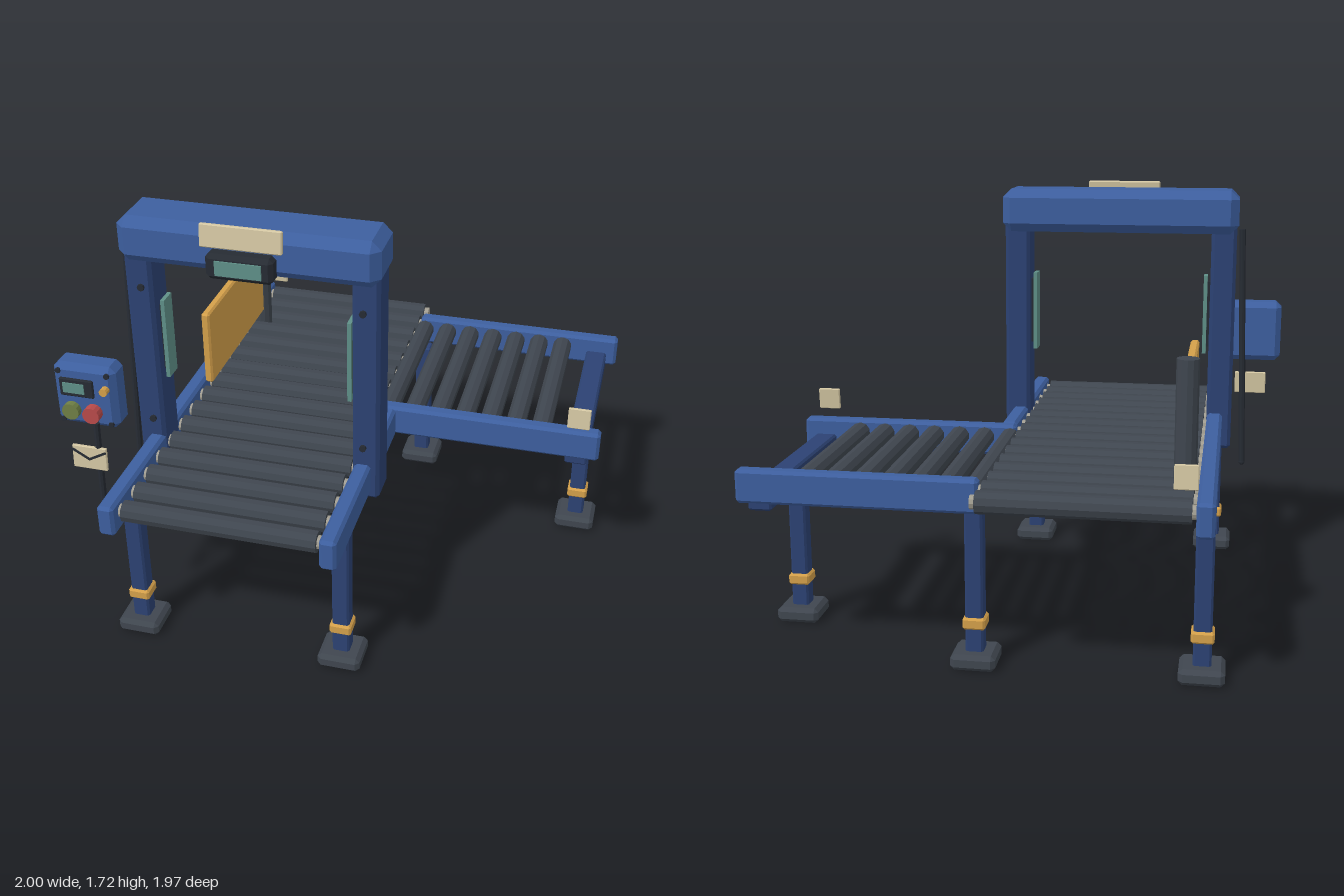
import * as THREE from 'three';
import { ConvexGeometry } from 'three/addons/geometries/ConvexGeometry.js';

const mat = (color) => new THREE.MeshStandardMaterial({ color, flatShading: true });
const BLUE = mat(0x3d5f9f), NAVY = mat(0x2c4273), DARK = mat(0x3f464f), BLACK = mat(0x262b33);
const AMBER = mat(0xd4a04a), CREAM = mat(0xd3c6a2), TEAL = mat(0x5f9088), STEEL = mat(0xa09c90);
const GREEN = mat(0x6f7f45), RED = mat(0xb84a4a);

// Box with every edge chamfered by c
function chamferBox(w, h, d, c) {
  const pts = [];
  for (const sx of [-1, 1]) for (const sy of [-1, 1]) for (const sz of [-1, 1]) {
    const x = w / 2, y = h / 2, z = d / 2;
    pts.push(
      new THREE.Vector3(sx * x, sy * (y - c), sz * (z - c)),
      new THREE.Vector3(sx * (x - c), sy * y, sz * (z - c)),
      new THREE.Vector3(sx * (x - c), sy * (y - c), sz * z));
  }
  return new ConvexGeometry(pts);
}

export function createModel() {
  const model = new THREE.Group();
  model.name = 'sortingConveyor';

  const add = (name, geometry, material, x, y, z, parent = model) => {
    const mesh = new THREE.Mesh(geometry, material);
    mesh.name = name;
    mesh.position.set(x, y, z);
    parent.add(mesh);
    return mesh;
  };
  // Box given by its extents along each axis
  const block = (name, material, [x0, x1], [y0, y1], [z0, z1], c = 0, parent = model) => {
    const s = [x1 - x0, y1 - y0, z1 - z0];
    const geo = c ? chamferBox(...s, c) : new THREE.BoxGeometry(...s);
    return add(name, geo, material, (x0 + x1) / 2, (y0 + y1) / 2, (z0 + z1) / 2, parent);
  };
  // Cylinder between two points
  const rod = (name, material, a, b, r, sides = 8, parent = model) => {
    const p = new THREE.Vector3(...a), q = new THREE.Vector3(...b);
    const dir = q.clone().sub(p);
    const mid = p.clone().add(q).multiplyScalar(0.5);
    const mesh = add(name, new THREE.CylinderGeometry(r, r, dir.length(), sides), material, mid.x, mid.y, mid.z, parent);
    mesh.quaternion.setFromUnitVectors(new THREE.Vector3(0, 1, 0), dir.normalize());
    return mesh;
  };

  // Side rails of the main line and the branch
  const railY = [0.613, 0.742];
  block('mainRailRight', BLUE, [-0.755, -0.69], railY, [-0.985, 0.98], 0.012);
  block('mainRailLeft', BLUE, [0.095, 0.16], railY, [0.03, 0.97], 0.012);
  block('branchRailFront', BLUE, [0.09, 1.0], railY, [-0.03, 0.03], 0.012);
  block('branchRailBack', BLUE, [0.09, 1.0], railY, [-0.835, -0.775], 0.012);
  block('branchEndBeam', NAVY, [0.865, 0.955], [0.585, 0.675], [-0.825, 0.025], 0.008);

  // Rollers with steel axle ends
  const rollers = new THREE.Group();
  rollers.name = 'rollers';
  model.add(rollers);
  for (let i = 0; i < 16; i++) {
    const z = -0.925 + i * 0.1223;
    rod('mainRoller', DARK, [-0.675, 0.692, z], [0.078, 0.692, z], 0.042, 10, rollers);
    rod('mainAxle', STEEL, [-0.7, 0.692, z], [0.098, 0.692, z], 0.026, 10, rollers);
  }
  for (let i = 0; i < 7; i++) {
    const x = 0.113 + i * 0.107;
    rod('branchRoller', DARK, [x, 0.692, -0.77], [x, 0.692, -0.035], 0.041, 10, rollers);
    rod('branchAxle', STEEL, [x, 0.692, -0.785], [x, 0.692, -0.02], 0.025, 10, rollers);
  }

  // Legs with clamps and feet
  for (const [x, z] of [[-0.72, 0.742], [-0.72, -0.742], [0.12, 0.742], [0.12, -0.742], [0.91, -0.4]]) {
    const leg = new THREE.Group();
    leg.name = 'leg';
    leg.position.set(x, 0, z);
    model.add(leg);
    add('legPost', chamferBox(0.068, 0.57, 0.068, 0.008), NAVY, 0, 0.335, 0, leg);
    add('legClamp', chamferBox(0.086, 0.046, 0.086, 0.008), AMBER, 0, 0.172, 0, leg);
    add('foot', chamferBox(0.17, 0.062, 0.165, 0.016), DARK, 0, 0.031, 0, leg);
  }

  // Scanner gate
  const gate = new THREE.Group();
  gate.name = 'scannerGate';
  model.add(gate);
  for (const s of [-1, 1]) {
    const x = -0.3 + s * 0.44;
    add('gatePost', chamferBox(0.106, 0.97, 0.145, 0.014), NAVY, x, 1.07, 0.392, gate);
    const inner = -0.3 + s * 0.367;
    add('lightCurtain', new THREE.BoxGeometry(0.016, 0.335, 0.075), TEAL, inner, 1.165, 0.392, gate);
    add('lightCurtainMount', new THREE.BoxGeometry(0.02, 0.28, 0.04), BLACK, inner + s * 0.014, 1.165, 0.392, gate);
    for (const y of [0.82, 1.4]) rod('postBolt', BLACK, [x - s * 0.01, y, 0.46], [x - s * 0.01, y, 0.475], 0.014, 8, gate);
  }
  block('gateBeam', BLUE, [-0.8, 0.2], [1.515, 1.695], [0.27, 0.51], 0.036, gate);
  block('beamDisplay', BLACK, [-0.43, -0.175], [1.518, 1.618], [0.5, 0.568], 0.016, gate);
  block('beamDisplayScreen', TEAL, [-0.39, -0.215], [1.54, 1.597], [0.56, 0.574], 0, gate);
  const sign = add('beamSign', chamferBox(0.31, 0.088, 0.018, 0.004), CREAM, -0.3, 1.675, 0.53, gate);
  sign.rotation.x = -0.12;

  // Diverter paddle on its pivot column
  const diverter = new THREE.Group();
  diverter.name = 'diverter';
  model.add(diverter);
  rod('pivotColumn', DARK, [-0.637, 0.7, -0.628], [-0.637, 1.167, -0.628], 0.042, 12, diverter);
  block('paddle', AMBER, [-0.655, -0.62], [0.78, 1.105], [-0.6, 0.09], 0.008, diverter);
  block('paddlePad', BLACK, [-0.662, -0.65], [0.845, 1.04], [-0.53, 0.03], 0, diverter);

  // Bent arm carrying the control panel
  const arm = [[-0.815, 1.53, 0.388], [-0.845, 0.512, 0.388], [-0.845, 0.512, 0.742], [-0.836, 0.95, 0.742]];
  for (let i = 0; i < 3; i++) rod('panelArm', BLACK, arm[i], arm[i + 1], 0.013);
  for (const p of arm.slice(1, 3)) add('armElbow', new THREE.SphereGeometry(0.014, 8, 6), BLACK, ...p);

  // Control panel
  const panel = new THREE.Group();
  panel.name = 'controlPanel';
  model.add(panel);
  block('panelBox', BLUE, [-1.0, -0.75], [0.92, 1.183], [0.622, 0.732], 0.024, panel);
  block('panelBezel', BLACK, [-0.97, -0.835], [1.053, 1.128], [0.725, 0.742], 0.004, panel);
  block('panelScreen', TEAL, [-0.955, -0.87], [1.07, 1.112], [0.735, 0.746], 0, panel);
  rod('greenButton', GREEN, [-0.93, 0.993, 0.725], [-0.93, 0.993, 0.758], 0.034, 14, panel);
  rod('redButton', RED, [-0.843, 0.993, 0.725], [-0.843, 0.993, 0.768], 0.034, 14, panel);
  rod('amberKnob', AMBER, [-0.787, 1.097, 0.725], [-0.787, 1.097, 0.758], 0.016, 10, panel);
  for (const x of [-0.972, -0.778]) for (const y of [0.945, 1.155])
    rod('panelScrew', BLACK, [x, y, 0.728], [x, y, 0.738], 0.011, 8, panel);

  // Marker plates, tilted slightly back
  const plate = (name, w, h, x, y, z, tilt) => {
    const p = add(name, chamferBox(w, h, 0.014, 0.003), CREAM, x, y, z);
    p.rotation.x = tilt;
    return p;
  };
  plate('branchMarker', 0.09, 0.088, 0.91, 0.815, 0.04, -0.09);
  plate('lineEndMarker', 0.085, 0.088, -0.652, 0.815, -0.925, 0.09);
  const tag = plate('panelTag', 0.14, 0.098, -0.874, 0.793, 0.75, -0.05);
  for (const s of [-1, 1]) {
    const fold = add('tagFold', new THREE.BoxGeometry(0.08, 0.009, 0.005), BLACK, s * 0.033, 0.014, 0.008, tag);
    fold.rotation.z = s * 0.5;
  }

  return model;
}
